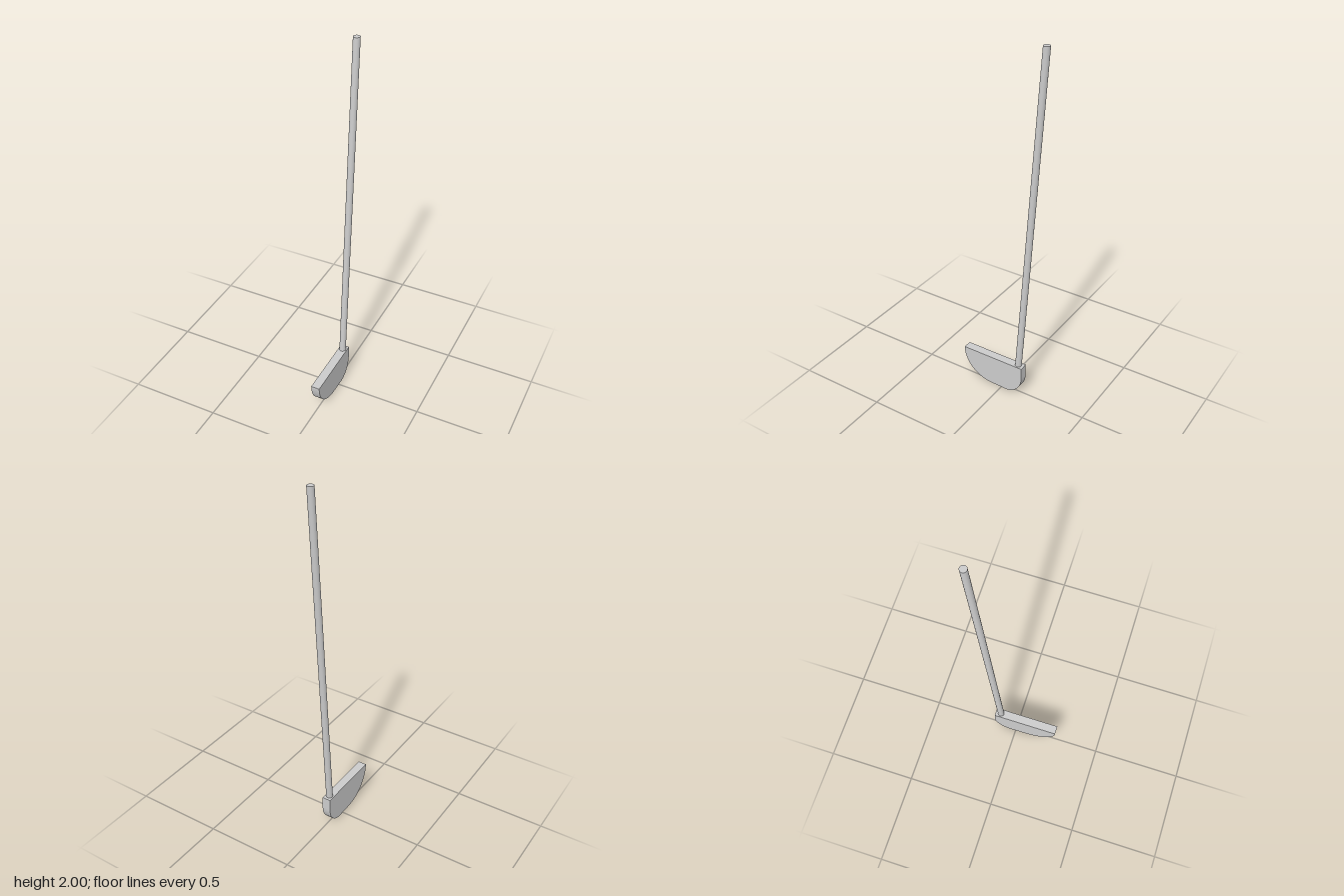
import * as THREE from 'three';

export function createModel() {
  const model = new THREE.Group();
  const material = new THREE.MeshStandardMaterial({ color: 0xcccccc });
  const headTop = 0.18, thickness = 0.048;

  // Head: flat plate with a long curved toe and a tighter rounded heel
  const outline = new THREE.Shape();
  outline.moveTo(-0.129, headTop);
  outline.lineTo(-0.129, 0.11);
  outline.absellipse(-0.03, 0.11, 0.099, 0.11, Math.PI, Math.PI * 1.5, false);
  outline.absellipse(0.06, headTop, 0.183, 0.177, Math.PI * 1.5, Math.PI * 2, false);
  outline.closePath();
  const headGeometry = new THREE.ExtrudeGeometry(outline, {
    depth: thickness, bevelEnabled: false, curveSegments: 10,
  });
  headGeometry.translate(0, 0, -thickness / 2).rotateY(-Math.PI / 2);
  const head = new THREE.Mesh(headGeometry, material);
  head.name = 'head';
  model.add(head);

  // Shaft: round rod leaning backwards, with level ends
  const bottomZ = -0.097, topZ = -0.226, length = 2 - headTop;
  const shaftGeometry = new THREE.CylinderGeometry(0.018, 0.018, length, 32);
  const lean = new THREE.Matrix4().makeShear(0, 0, 0, (topZ - bottomZ) / length, 0, 0);
  shaftGeometry.applyMatrix4(lean);
  const shaft = new THREE.Mesh(shaftGeometry, material);
  shaft.name = 'shaft';
  shaft.position.set(0, headTop + length / 2, (bottomZ + topZ) / 2);
  model.add(shaft);

  return model;
}
